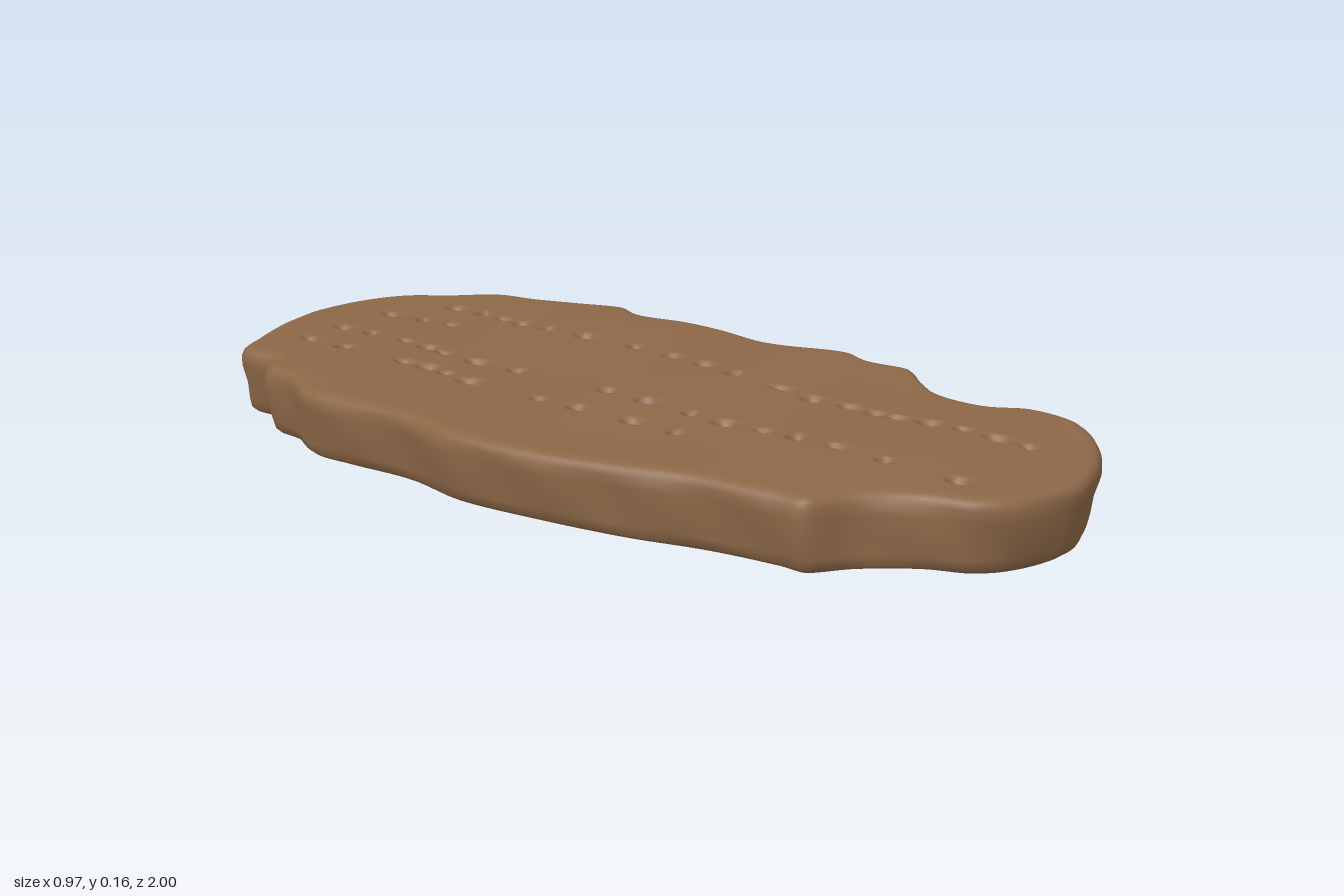
import * as THREE from 'three';

const N = 520; // samples around the rim
const TOP_RINGS = 68;

// Rim of the slab as x, z pairs, starting at the back and running past the +x side
const RIM = [
  0, -1, .14, -.99, .24, -.945, .31, -.86, .39, -.77, .415, -.67, .45, -.565, .482, -.45, .45, -.37,
  .472, -.24, .472, -.1, .457, .05, .473, .2, .45, .265, .467, .36, .42, .42, .36, .51, .35, .61,
  .387, .69, .37, .8, .32, .865, .23, .93, .11, .98, .01, 1, -.12, .955, -.18, .9, -.215, .82,
  -.28, .735, -.36, .67, -.365, .6, -.385, .45, -.43, .29, -.465, .13, -.488, -.07, -.462, -.24,
  -.47, -.4, -.47, -.51, -.425, -.61, -.41, -.7, -.35, -.74, -.34, -.86, -.26, -.91, -.155, -.96, -.1, -.978,
];

// Rows of small pits: x at the back end, x at the front end, z of each pit
const ROWS = [
  [-.18, -.2, [-.8, -.69, -.5, -.44, -.38, -.3, -.1, 0, .14, .25]],
  [-.065, -.09, [-.82, -.74, -.62, -.55, -.49, -.39, -.28, -.03, .08, .2, .29, .38, .45, .55, .66, .82]],
  [.09, .1, [-.83, -.74, -.65]],
  [.22, .215, [-.75, -.67, -.59, -.53, -.45, -.34, -.2, -.09]],
  [.2, .155, [.01, .1, .24, .33]],
  [.155, .16, [.42, .48, .53, .6, .67, .75, .82]],
];
const PITS = ROWS.flatMap(([x0, x1, zs]) => zs.map((z, i) => ({
  x: x0 + (x1 - x0) * i / (zs.length - 1) + .008 * Math.sin(i * 5.1 + x0 * 40),
  z,
  w: .012 + .003 * Math.sin(i * 2.7),
  l: .018 + .005 * Math.sin(i * 3.9 + 1),
})));

const bump = (x, z, cx, cz, r) => Math.exp(-((x - cx) ** 2 + (z - cz) ** 2) / (r * r));

// Height of the worn upper face, with its pits
function topHeight(x, z) {
  let y = .147 + .002 * Math.sin(7 * x + 3 * z) + .0015 * Math.sin(11 * z - 5 * x + 1);
  y += .009 * bump(x, z, .47, .2, .16) - .006 * bump(x, z, .33, .4, .08) - .005 * bump(x, z, .42, -.05, .07);
  for (const p of PITS) {
    const d = ((x - p.x) / p.w) ** 2 + ((z - p.z) / p.l) ** 2;
    if (d < 8) y -= .024 * Math.exp(-d * d * .6);
  }
  return y;
}

// Height of the underside, lifted where the edge is chipped
const bottomHeight = (x, z) => .028 * bump(x, z, .4, -.78, .16) + .012 * bump(x, z, .15, .98, .22)
  + .002 + .002 * Math.sin(9 * x + 5 * z);

// Evenly spaced rim points with outward directions
function sampleRim() {
  const pts = [];
  for (let i = 0; i < RIM.length; i += 2) pts.push(new THREE.Vector3(RIM[i], 0, RIM[i + 1]));
  const curve = new THREE.CatmullRomCurve3(pts, true, 'centripetal');
  curve.arcLengthDivisions = 1500;
  return Array.from({ length: N }, (_, i) => {
    const p = curve.getPointAt(i / N);
    const t = curve.getTangentAt(i / N);
    return { x: p.x, z: p.z, nx: t.z, nz: -t.x };
  });
}

// Closed loops of points joined into one smooth skin
function loft(rings) {
  const index = [];
  for (let r = 0; r < rings.length - 1; r++) {
    for (let i = 0; i < N; i++) {
      const j = (i + 1) % N;
      const a = r * N + i, b = r * N + j, c = a + N, d = b + N;
      index.push(a, c, b, b, c, d);
    }
  }
  const g = new THREE.BufferGeometry();
  g.setAttribute('position', new THREE.Float32BufferAttribute(rings.flat(2), 3));
  g.setIndex(index);
  g.computeVertexNormals();
  return g;
}

const inset = (p, d) => [p.x - p.nx * d, p.z - p.nz * d];
// Move a point towards the long middle line
const inward = ([x, z], k) => [x * (1 - k), z * (1 - .4 * k)];

export function createModel() {
  const clay = new THREE.MeshStandardMaterial({ color: 0x8c6747 });
  clay.name = 'brown clay';
  const dark = new THREE.MeshStandardMaterial({ color: 0x1c0a08 });
  dark.name = 'dark underside';

  const rim = sampleRim();
  // Wall profile: inset from the rim and fraction of the height
  const profile = [[.028, 0], [.016, .07], [.011, .2], [.006, .45], [0, .72], [.001, .86], [.006, .94], [.014, .985]];
  const lean = (p) => .03 * bump(p.x, p.z, -.28, .76, .12) + .012 * bump(p.x, p.z, -.43, .35, .15);

  // Wall and upper face in one skin
  const rings = profile.map(([d, t]) => rim.map((p) => {
    const ripple = .004 * Math.sin(t * 5 + p.z * 23 + p.x * 17) * Math.sin(Math.PI * t);
    const [x, z] = inset(p, d + ripple + lean(p) * (t - .3));
    const low = bottomHeight(p.x, p.z);
    return [x, low + (topHeight(x, z) - low) * t, z];
  }));
  for (let r = 0; r <= TOP_RINGS; r++) {
    rings.push(rim.map((p) => {
      const [x, z] = inward(inset(p, .026 + lean(p) * .7), r / TOP_RINGS);
      return [x, topHeight(x, z), z];
    }));
  }
  const slab = new THREE.Mesh(loft(rings), clay);
  slab.name = 'slab';

  // Underside, from the middle line out to the wall
  const under = [1, .6, .3, .15, .06].map((k) => rim.map((p) => {
    const [x, z] = inward(inset(p, .028), k);
    return [x, bottomHeight(x, z), z];
  }));
  under.push(rings[0]);
  const underside = new THREE.Mesh(loft(under), dark);
  underside.name = 'underside';

  const model = new THREE.Group();
  model.name = 'pittedSlab';
  model.add(slab, underside);
  return model;
}
